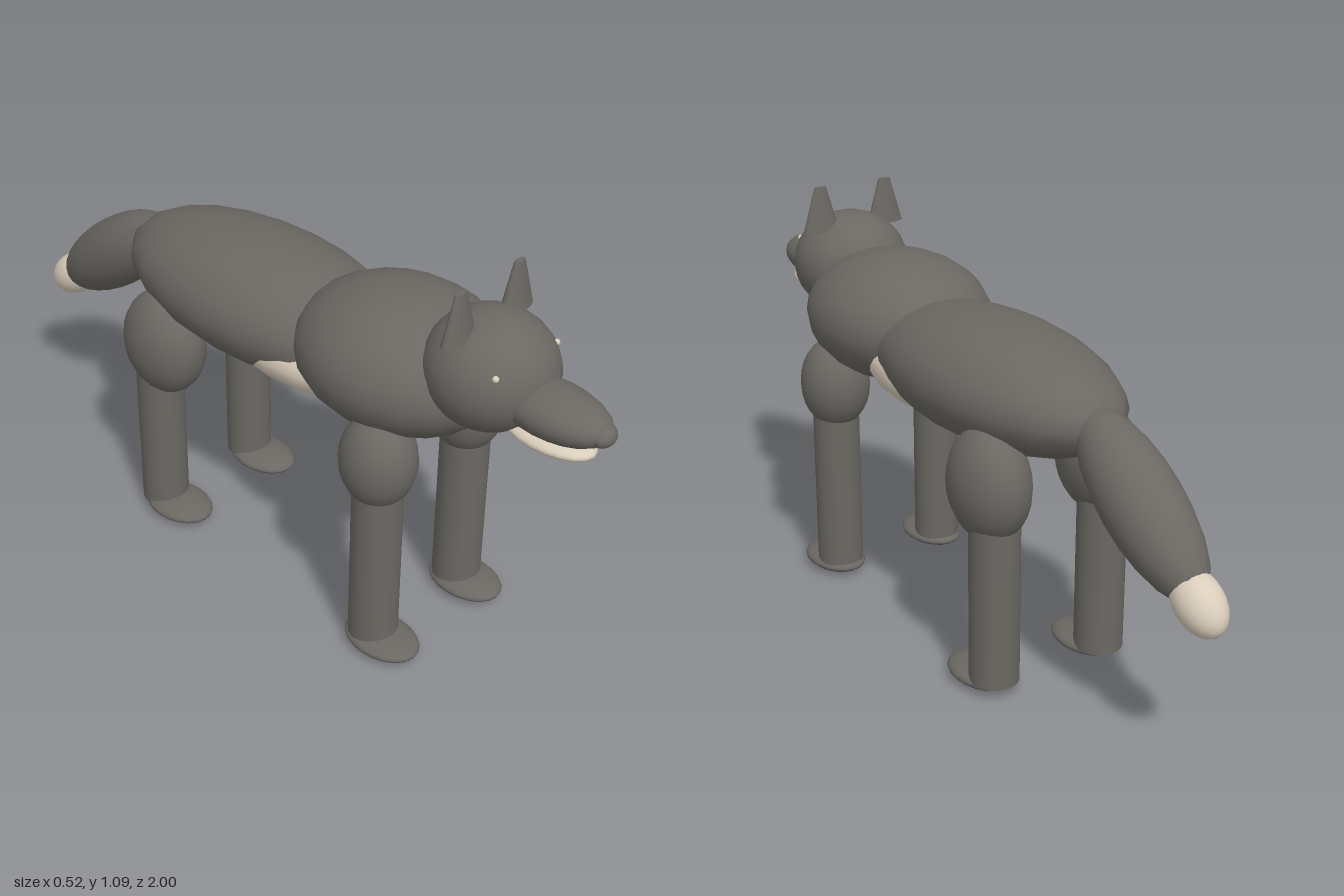
import * as THREE from 'three';

export function createModel() {
  const model = new THREE.Group();
  model.name = 'fox';
  const fur = new THREE.MeshStandardMaterial({ color: 0x6b6863 });
  fur.name = 'dark grey fur';
  const cream = new THREE.MeshStandardMaterial({ color: 0xd9cdbb });
  cream.name = 'cream fur';

  const add = (name, geometry, material, [x, y, z]) => {
    const mesh = new THREE.Mesh(geometry, material);
    mesh.name = name;
    mesh.position.set(x, y, z);
    model.add(mesh);
    return mesh;
  };
  // Ellipsoid with given centre and radii, optionally pitched about x
  const blob = (name, material, centre, radii, pitch = 0) => {
    const geometry = new THREE.SphereGeometry(1, 20, 14).scale(...radii).rotateX(pitch);
    return add(name, geometry, material, centre);
  };

  // Trunk
  blob('body', fur, [0, 0.742, -0.1], [0.23, 0.156, 0.47]);
  blob('chest', fur, [0, 0.775, 0.38], [0.245, 0.175, 0.29]);
  blob('belly', cream, [0, 0.7, 0.1], [0.2, 0.11, 0.32]);

  // Head
  blob('head', fur, [0, 0.858, 0.65], [0.162, 0.147, 0.165]);
  blob('muzzle', fur, [0, 0.829, 0.83], [0.087, 0.061, 0.16]);
  blob('nose', fur, [0, 0.828, 0.972], [0.036, 0.027, 0.028]);
  blob('lowerJaw', cream, [0, 0.76, 0.83], [0.07, 0.026, 0.125]);

  // Tail
  blob('tail', fur, [0, 0.615, -0.705], [0.1, 0.1, 0.27], -0.64);
  blob('tailTip', cream, [0, 0.455, -0.92], [0.06, 0.06, 0.09], -0.64);

  for (const [side, s] of [['left', 1], ['right', -1]]) {
    // Eyes and flattened, cut-off ears
    blob(side + 'Eye', cream, [s * 0.109, 0.92, 0.748], [0.008, 0.008, 0.008]);
    const ear = new THREE.CylinderGeometry(0.018, 0.055, 0.125, 16).scale(1, 1, 0.45);
    add(side + 'Ear', ear, fur, [s * 0.102, 1.0275, 0.63]);

    // Legs: rounded upper part, straight shank, flat paw
    const x = s * 0.164;
    for (const [end, upperY, upperZ, upperRY, upperRZ, shankZ, pawZ] of [
      ['Front', 0.58, 0.46, 0.13, 0.1, 0.462, 0.495],
      ['Hind', 0.56, -0.32, 0.15, 0.13, -0.347, -0.29],
    ]) {
      blob(side + end + 'Thigh', fur, [x, upperY, upperZ], [0.096, upperRY, upperRZ]);
      const shank = new THREE.CylinderGeometry(0.065, 0.065, 0.46, 20);
      add(side + end + 'Leg', shank, fur, [x, 0.26, shankZ]);
      blob(side + end + 'Paw', fur, [x, 0.028, pawZ], [0.078, 0.026, 0.11]);
    }
  }
  return model;
}
